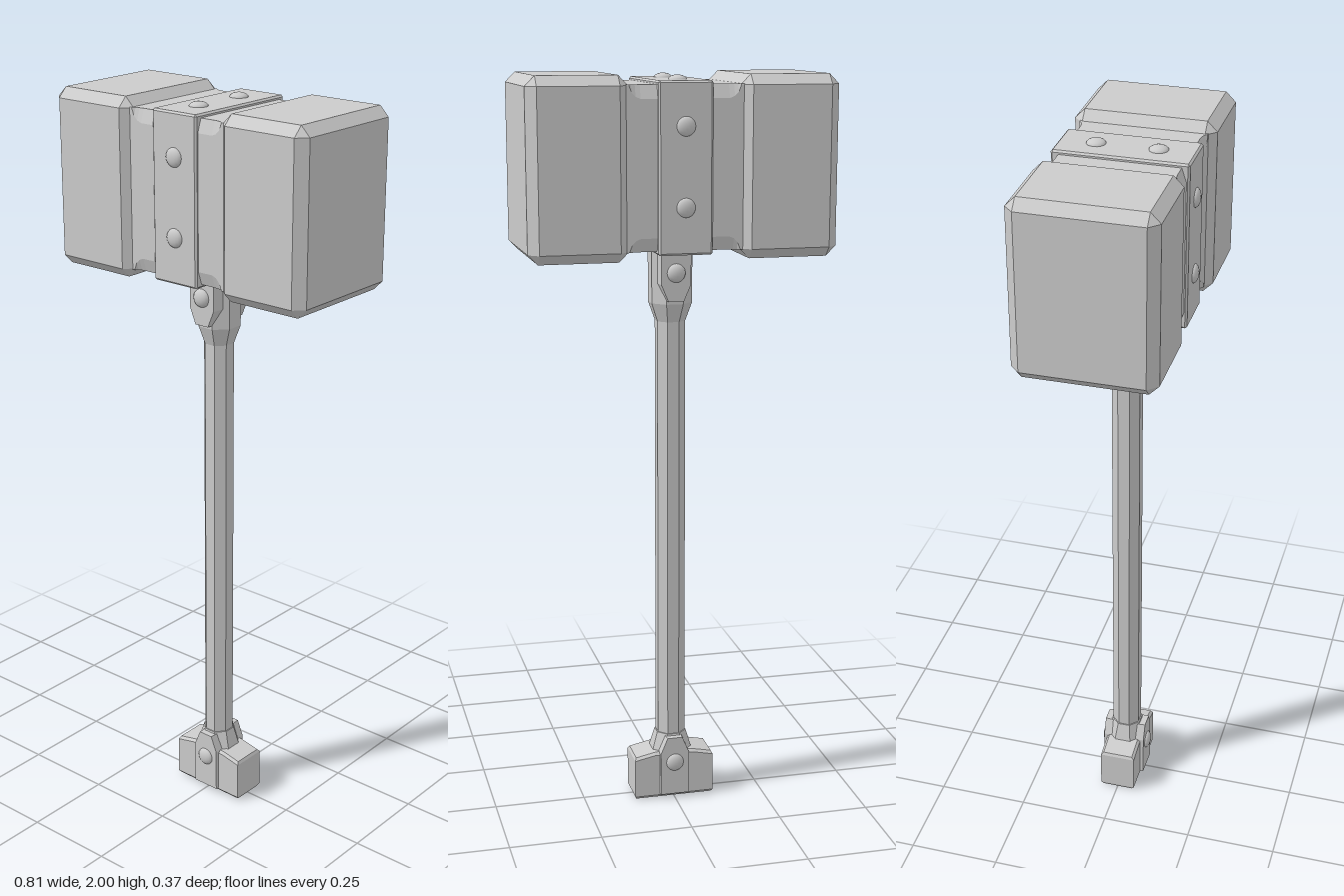
import * as THREE from 'three';
import { ConvexGeometry } from 'three/addons/geometries/ConvexGeometry.js';

const flat = new THREE.MeshStandardMaterial({ color: 0xcccccc, flatShading: true });
const smooth = new THREE.MeshStandardMaterial({ color: 0xcccccc });

export function createModel() {
  const model = new THREE.Group();
  model.name = 'warHammer';

  const add = (name, geometry, x = 0, y = 0, z = 0, material = flat) => {
    const mesh = new THREE.Mesh(geometry, material);
    mesh.name = name;
    mesh.position.set(x, y, z);
    model.add(mesh);
    return mesh;
  };

  // Box with every edge cut at an angle, given by half sizes and chamfer width
  const chamferBox = (hx, hy, hz, c) => {
    const points = [];
    for (const sx of [-1, 1]) for (const sy of [-1, 1]) for (const sz of [-1, 1]) {
      points.push(
        new THREE.Vector3(sx * hx, sy * (hy - c), sz * (hz - c)),
        new THREE.Vector3(sx * (hx - c), sy * hy, sz * (hz - c)),
        new THREE.Vector3(sx * (hx - c), sy * (hy - c), sz * hz));
    }
    return new ConvexGeometry(points);
  };

  // Eight-sided shaft or collar with flats facing front; profile holds [halfWidth, y]
  const octagon = (profile) => {
    const k = 1 / Math.cos(Math.PI / 8);
    const points = profile.map(([r, y]) => new THREE.Vector2(r * k, y));
    return new THREE.LatheGeometry(points, 8, Math.PI / 8);
  };

  // Domed rivet, its axis along y or z
  const rivet = (name, x, y, z, axis, r = 0.025, h = 0.013) => {
    const mesh = add(name, new THREE.SphereGeometry(r, 16, 10), x, y, z, smooth);
    mesh.scale[axis] = h / r;
  };

  // Bevelled side plate whose outline narrows at one end; profile holds [halfWidth, y]
  const plate = (name, profile, z, side) => {
    const points = [];
    for (const [w, y] of profile) for (const s of [-1, 1]) {
      points.push(new THREE.Vector3(s * w, y, 0), new THREE.Vector3(s * (w - 0.005), y, side * z));
    }
    add(name, new ConvexGeometry(points));
  };

  // Striking blocks
  for (const s of [-1, 1]) {
    add(s > 0 ? 'leftHeadBlock' : 'rightHeadBlock', chamferBox(0.13, 0.2325, 0.183, 0.026), s * 0.275, 1.7675, 0);
  }

  // Head core, its long edges scooped out beside the band and fading towards the blocks
  const stations = [0.16, 0.145, 0.138, 0.128, 0.115, 0];
  const cuts = [0.05, 0.05, 0.55, 0.85, 1, 1];
  const rings = [];
  for (let i = 0; i < 11; i++) {
    const j = i < 6 ? i : 10 - i;
    const x = (i < 6 ? -1 : 1) * stations[j];
    const hy = 0.2085, hz = 0.164, a = 0.035 * cuts[j], b = 0.012 * cuts[j];
    rings.push([[hy - a, hz], [hy, hz - b], [hy, b - hz], [hy - a, -hz],
      [a - hy, -hz], [-hy, b - hz], [-hy, hz - b], [a - hy, hz]].map(([y, z]) => [x, y, z]));
  }
  const position = [];
  for (let i = 0; i < 10; i++) for (let k = 0; k < 8; k++) {
    const n = (k + 1) % 8;
    const [p, q, r, t] = [rings[i][k], rings[i + 1][k], rings[i + 1][n], rings[i][n]];
    position.push(...p, ...q, ...r, ...p, ...r, ...t);
  }
  const core = new THREE.BufferGeometry();
  core.setAttribute('position', new THREE.Float32BufferAttribute(position, 3));
  core.computeVertexNormals();
  add('headCore', core, 0, 1.7675, 0);

  // Central band and its rivets
  add('headBand', chamferBox(0.071, 0.218, 0.172, 0.005), 0, 1.7675, 0);
  for (const s of [-1, 1]) {
    for (const y of [1.67, 1.873]) rivet('bandSideRivet', 0, y, s * 0.171, 'z');
    rivet('bandTopRivet', 0, 1.984, s * 0.078, 'y');
  }

  // Shaft
  add('shaft', octagon([[0, 0.1], [0.038, 0.1], [0.038, 1.45], [0, 1.45]]));

  // Upper collar with riveted plates
  add('upperCollar', octagon([[0.038, 1.355], [0.055, 1.405], [0.055, 1.56], [0, 1.56]]));
  for (const s of [-1, 1]) {
    plate('upperCollarPlate', [[0.045, 1.56], [0.045, 1.46], [0.026, 1.415]], 0.07, s);
    rivet('upperCollarRivet', 0, 1.49, s * 0.069, 'z', 0.025, 0.016);
  }

  // Lower collar
  add('lowerCollar', octagon([[0, 0.06], [0.055, 0.06], [0.055, 0.135], [0.041, 0.185], [0, 0.185]]));

  // Pommel crossbar, its top falling slightly towards the ends
  const bar = [];
  for (const s of [-1, 1]) for (const z of [-1, 1]) {
    for (const [x, top] of [[0.112, 0.124], [0.055, 0.136]]) {
      bar.push(
        new THREE.Vector3(s * x, 0.008, z * 0.05), new THREE.Vector3(s * (x - 0.004), 0, z * 0.043),
        new THREE.Vector3(s * x, top - 0.008, z * 0.05), new THREE.Vector3(s * (x - 0.004), top, z * 0.043));
    }
  }
  add('pommelBar', new ConvexGeometry(bar));

  // Pommel plates and rivets
  for (const s of [-1, 1]) {
    plate('pommelPlate', [[0.045, 0.012], [0.045, 0.135], [0.026, 0.18]], 0.06, s);
    rivet('pommelRivet', 0, 0.107, s * 0.059, 'z', 0.025, 0.013);
  }

  return model;
}
